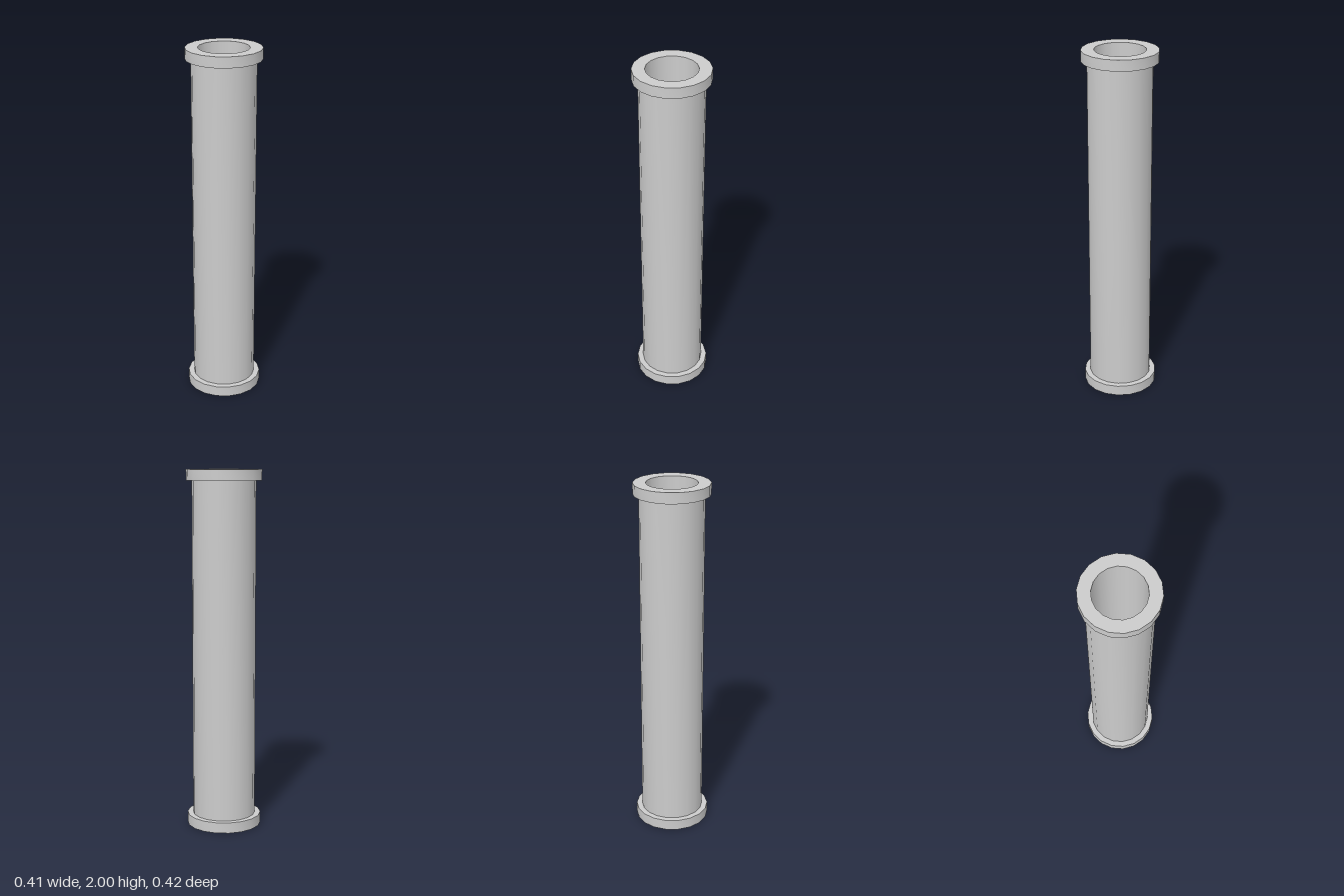
import * as THREE from 'three';
import { toCreasedNormals } from 'three/addons/utils/BufferGeometryUtils.js';

const SIDES = 18;
const HEIGHT = 2;
const BORE = 0.139;
const SHAFT = 0.176;
const RIM = 0.208;
const COLLAR = 0.06;

export function createModel() {
  const group = new THREE.Group();
  const material = new THREE.MeshStandardMaterial({ color: 0xcccccc });

  // Revolves a [radius, y] profile; outer walls run upward, inner walls downward
  const addLathe = (name, profile) => {
    const points = profile.map(([r, y]) => new THREE.Vector2(r, y));
    const geometry = toCreasedNormals(new THREE.LatheGeometry(points, SIDES), 0.6);
    const mesh = new THREE.Mesh(geometry, material);
    mesh.name = name;
    group.add(mesh);
  };

  // Outer pipe wall between the collars
  addLathe('pipeWall', [[SHAFT, COLLAR], [SHAFT, HEIGHT - COLLAR]]);

  // Inner wall of the open bore, running the full height
  addLathe('bore', [[BORE, HEIGHT], [BORE, 0]]);

  // Collars at both ends: the end face reaches the bore, the other face the shaft
  addLathe('bottomCollar', [[BORE, 0], [RIM, 0], [RIM, COLLAR], [SHAFT, COLLAR]]);
  addLathe('topCollar', [
    [SHAFT, HEIGHT - COLLAR], [RIM, HEIGHT - COLLAR], [RIM, HEIGHT], [BORE, HEIGHT],
  ]);

  return group;
}
